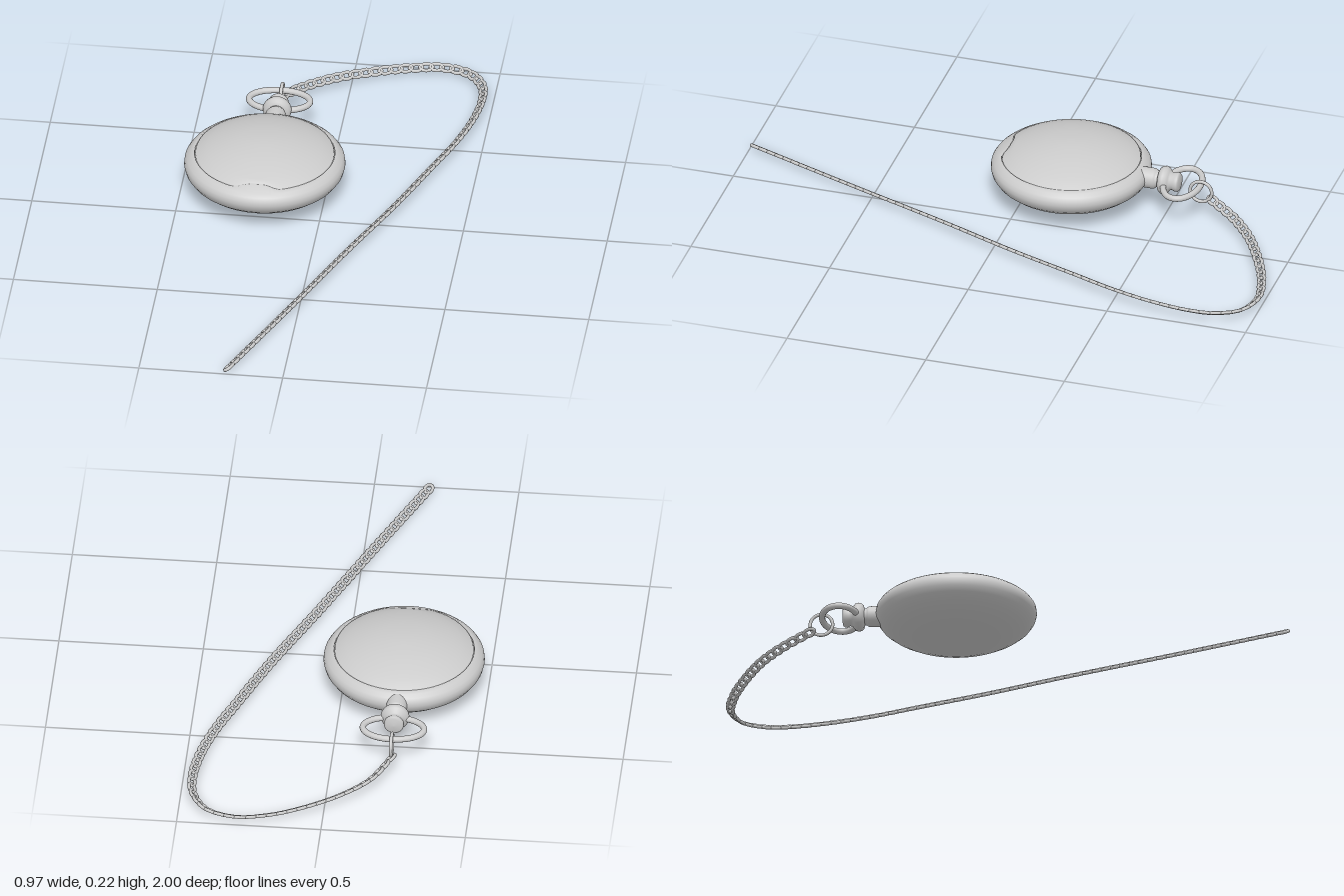
import * as THREE from 'three';
import { mergeGeometries, mergeVertices } from 'three/addons/utils/BufferGeometryUtils.js';

const material = new THREE.MeshStandardMaterial({ color: 0xcccccc, side: THREE.DoubleSide });
const X = -0.21, Z = -0.155; // centre of the watch case

function addMesh(parent, name, geometry, x = 0, y = 0, z = 0) {
  const mesh = new THREE.Mesh(geometry, material);
  mesh.name = name;
  mesh.position.set(x, y, z);
  parent.add(mesh);
  return mesh;
}

const profile = (points) => points.map(([r, y]) => new THREE.Vector2(r, y));

// Closed oval wire lying in the XY plane
function ovalWire(a, b, tube, segments, sides) {
  const points = [];
  for (let i = 0; i < 16; i++) {
    const t = (i / 16) * Math.PI * 2;
    points.push(new THREE.Vector3(a * Math.cos(t), b * Math.sin(t), 0));
  }
  return new THREE.TubeGeometry(new THREE.CatmullRomCurve3(points, true), segments, tube, sides, true);
}

// Lathed case half; the seam dips inward at the front as a thumb notch
function caseHalf(points) {
  let geometry = new THREE.LatheGeometry(profile(points), 96, Math.PI);
  const p = geometry.attributes.position;
  for (let i = 0; i < p.count; i++) {
    const x = p.getX(i), y = p.getY(i), z = p.getZ(i);
    const r = Math.hypot(x, z);
    if (r < 0.23 || r > 0.246 || y < 0.155) continue;
    const bump = Math.exp(-Math.pow(Math.atan2(x, z) / 0.25, 4));
    const scale = 1 - (0.022 * bump) / r;
    p.setXYZ(i, x * scale, y + 0.01 * bump, z * scale);
  }
  geometry.deleteAttribute('uv');
  geometry.deleteAttribute('normal');
  geometry = mergeVertices(geometry, 1e-5);
  geometry.computeVertexNormals();
  return geometry;
}

function createChain() {
  const path = new THREE.CatmullRomCurve3([
    [-0.21, 0.072, -0.665], [-0.15, 0.05, -0.76], [-0.05, 0.038, -0.848], [0.1, 0.026, -0.93],
    [0.2, 0.022, -0.966], [0.3, 0.022, -0.982], [0.4, 0.025, -0.95], [0.454, 0.03, -0.87],
    [0.465, 0.033, -0.78], [0.45, 0.035, -0.65], [0.41, 0.035, -0.5], [0.35, 0.034, -0.34],
    [0.25, 0.031, -0.08], [0.13, 0.027, 0.2], [-0.03, 0.02, 0.59], [-0.19, 0.0135, 0.973],
  ].map((p) => new THREE.Vector3(...p)));
  path.arcLengthDivisions = 600;
  const count = Math.round(path.getLength() / 0.036);
  const link = ovalWire(0.023, 0.0125, 0.006, 20, 7);
  const links = [];
  const up = new THREE.Vector3(0, 1, 0);
  const matrix = new THREE.Matrix4();
  // Every link is rolled by the same angle, as in a curb chain
  const roll = new THREE.Matrix4().makeRotationX(0.6);
  for (let i = 0; i <= count; i++) {
    const tangent = path.getTangentAt(i / count);
    const side = new THREE.Vector3().crossVectors(up, tangent).normalize();
    const normal = new THREE.Vector3().crossVectors(tangent, side);
    matrix.makeBasis(tangent, side, normal).multiply(roll);
    matrix.setPosition(path.getPointAt(i / count));
    links.push(link.clone().applyMatrix4(matrix));
  }
  return mergeGeometries(links);
}

export function createModel() {
  const model = new THREE.Group();
  model.name = 'pocketWatch';

  // Case body and domed lid
  addMesh(model, 'caseBody', caseHalf([
    [0, 0.016], [0.06, 0.018], [0.12, 0.026], [0.17, 0.038], [0.21, 0.053], [0.24, 0.07],
    [0.262, 0.088], [0.274, 0.106], [0.278, 0.122], [0.276, 0.137], [0.268, 0.149],
    [0.256, 0.159], [0.243, 0.167], [0.241, 0.161],
  ]), X, 0, Z);
  addMesh(model, 'lid', caseHalf([
    [0.24, 0.161], [0.238, 0.168], [0.2, 0.184], [0.17, 0.194], [0.13, 0.205],
    [0.09, 0.212], [0.045, 0.217], [0, 0.219],
  ]), X, 0, Z);

  // Neck and winding crown, pointing backwards
  const stem = new THREE.Group();
  stem.name = 'stem';
  stem.position.set(X, 0.124, Z);
  stem.rotation.x = -Math.PI / 2;
  model.add(stem);
  addMesh(stem, 'neck', new THREE.LatheGeometry(profile([
    [0.036, 0.25], [0.036, 0.3], [0.033, 0.306], [0.029, 0.31], [0.029, 0.325],
  ]), 32));
  addMesh(stem, 'crown', new THREE.LatheGeometry(profile([
    [0.028, 0.316], [0.041, 0.32], [0.048, 0.328], [0.05, 0.338], [0.047, 0.348],
    [0.038, 0.355], [0.031, 0.36], [0.03, 0.368], [0.034, 0.376], [0.034, 0.386],
    [0.028, 0.392], [0, 0.394],
  ]), 32));

  // Oval bow around the crown
  const bow = ovalWire(0.106, 0.063, 0.011, 64, 12);
  bow.rotateX(-Math.PI / 2);
  addMesh(model, 'bow', bow, X, 0.121, -0.556);

  // Upright ring joining bow and chain
  const ring = new THREE.TorusGeometry(0.039, 0.006, 10, 36);
  ring.rotateY(Math.PI / 2);
  addMesh(model, 'jumpRing', ring, X, 0.1, -0.622);

  addMesh(model, 'chain', createChain());
  return model;
}
